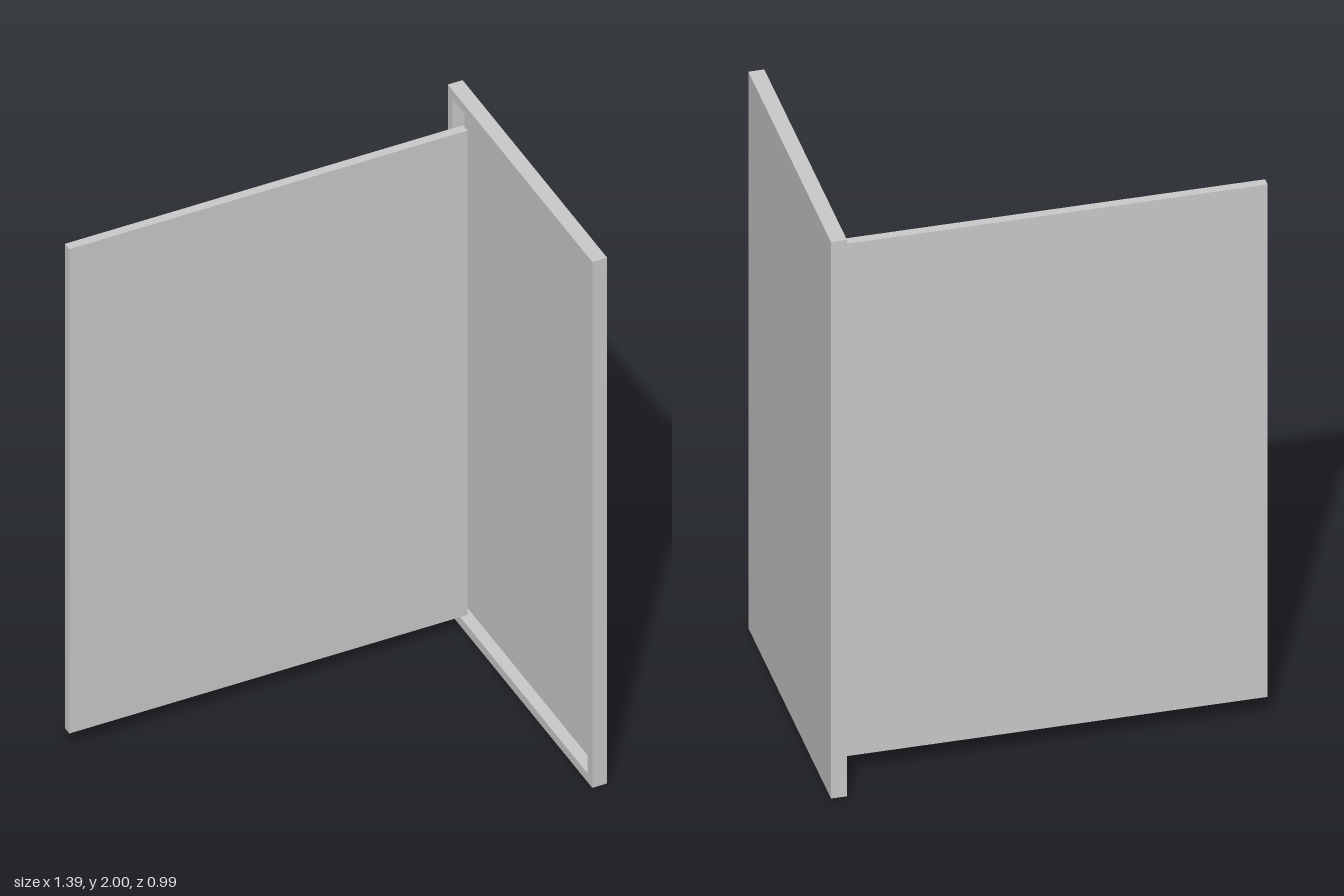
import * as THREE from 'three';

const material = new THREE.MeshStandardMaterial({ color: 0xcccccc, flatShading: true });

// Box given by its minimum and maximum corners
function box(name, min, max) {
  const size = max.map((v, i) => v - min[i]);
  const mesh = new THREE.Mesh(new THREE.BoxGeometry(...size), material);
  mesh.position.set(...max.map((v, i) => (v + min[i]) / 2));
  mesh.name = name;
  return mesh;
}

export function createModel() {
  const model = new THREE.Group();
  model.name = 'trayWithOpenPanel';

  const inner = 0.647, outer = 0.697; // x range of the tray
  const floorX = 0.687;               // recess floor
  const halfZ = 0.495, rim = 0.033;

  // Shallow upright tray, open towards -x
  const tray = new THREE.Group();
  tray.name = 'tray';
  tray.add(box('trayBack', [floorX, 0, -halfZ], [outer, 2, halfZ]));

  // Raised rim: a rectangle with a rectangular hole, extruded along x
  const shape = new THREE.Shape([
    new THREE.Vector2(-halfZ, 0), new THREE.Vector2(halfZ, 0),
    new THREE.Vector2(halfZ, 2), new THREE.Vector2(-halfZ, 2),
  ]);
  const a = halfZ - rim;
  shape.holes.push(new THREE.Path([
    new THREE.Vector2(-a, rim), new THREE.Vector2(-a, 2 - rim),
    new THREE.Vector2(a, 2 - rim), new THREE.Vector2(a, rim),
  ]));
  const rimGeometry = new THREE.ExtrudeGeometry(shape, { depth: floorX - inner, bevelEnabled: false });
  rimGeometry.rotateY(Math.PI / 2);
  const rimMesh = new THREE.Mesh(rimGeometry, material);
  rimMesh.position.x = inner;
  rimMesh.name = 'trayRim';
  tray.add(rimMesh);
  model.add(tray);

  // Thin panel standing square to the tray
  model.add(box('panel', [-0.697, 0.075, -0.39], [inner, 1.917, -0.36]));
  return model;
}
